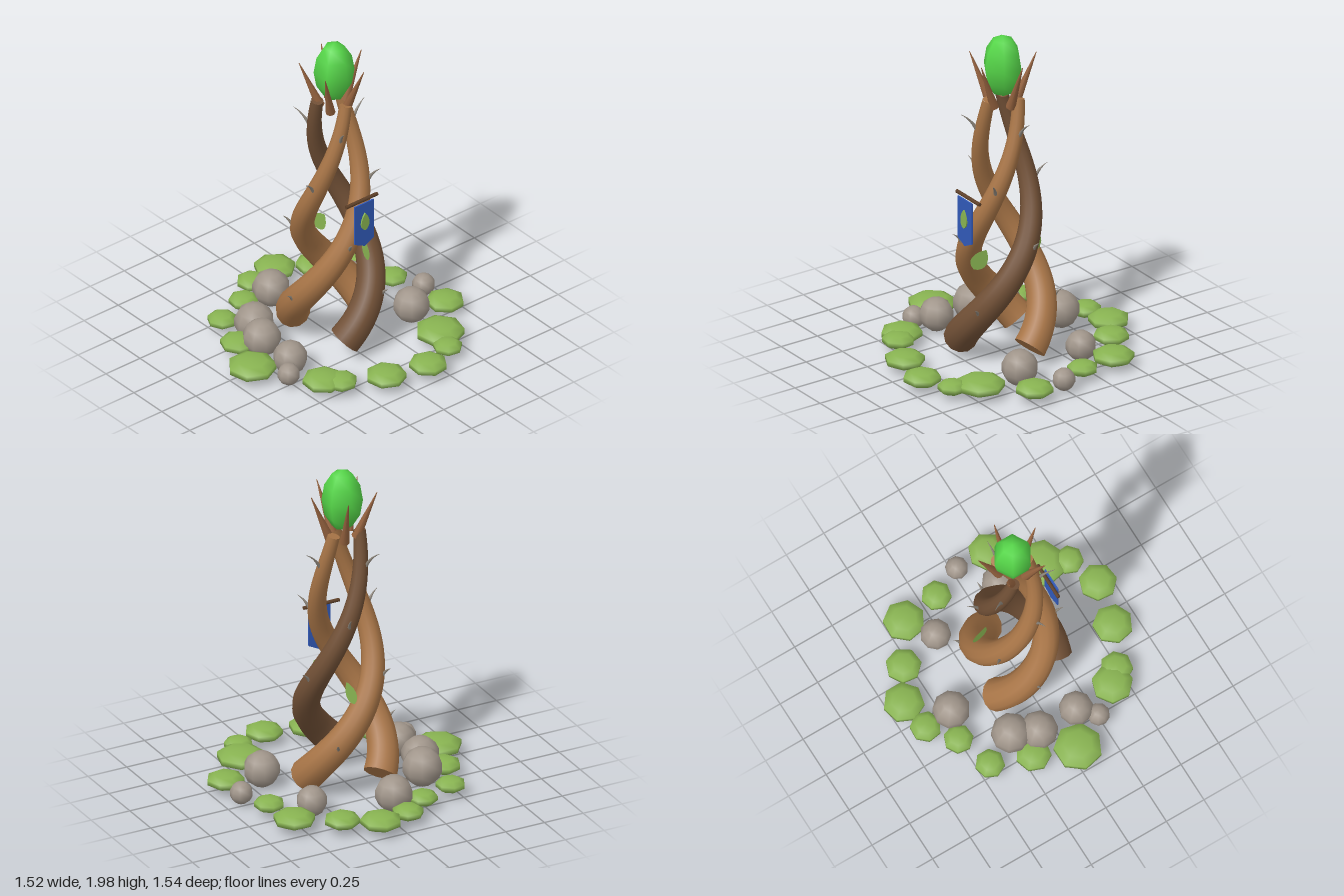
import * as THREE from 'three';

const mat = (name, color, side = THREE.FrontSide) => {
  const m = new THREE.MeshStandardMaterial({ color, side });
  m.name = name;
  return m;
};

// Tube whose radius runs from r0 to r1 along the curve
function taperedTube(curve, segments, r0, r1, sides) {
  const geo = new THREE.TubeGeometry(curve, segments, 1, sides);
  const pos = geo.attributes.position, v = new THREE.Vector3();
  for (let i = 0; i <= segments; i++) {
    const t = i / segments, c = curve.getPointAt(t), r = r0 + (r1 - r0) * t;
    for (let j = 0; j <= sides; j++) {
      const k = i * (sides + 1) + j;
      v.fromBufferAttribute(pos, k).sub(c).multiplyScalar(r).add(c);
      pos.setXYZ(k, v.x, v.y, v.z);
    }
  }
  return geo;
}

const CX = 0.015, Y0 = 0.13, Y1 = 1.62;

// Helical strand narrowing towards the top
class Strand extends THREE.Curve {
  constructor(offset) { super(); this.offset = offset; }
  angle(y) {
    const d = y - 0.68;
    return THREE.MathUtils.degToRad(90 + 192 * d - 32 * d * d + this.offset);
  }
  at(y, extra = 0) {
    const a = this.angle(y), r = 0.242 - 0.097 * (y - Y0) + extra;
    return new THREE.Vector3(CX + r * Math.sin(a), y, r * Math.cos(a));
  }
  getPoint(t, target = new THREE.Vector3()) {
    return target.copy(this.at(Y0 + (Y1 - Y0) * t));
  }
}

export function createModel() {
  const root = new THREE.Group();
  root.name = 'twistedRootTower';
  const lightWood = mat('light wood', 0xa87547);
  const darkWood = mat('dark wood', 0x715036);
  const spikeWood = mat('spike wood', 0x96633f);
  const thornGrey = mat('thorn grey', 0x8d857a);
  const stone = mat('stone', 0xa0958a);
  const green = mat('leaf green', 0x88b351, THREE.DoubleSide);
  const gemGreen = mat('gem green', 0x55d548);
  const blue = mat('banner blue', 0x3159b8);
  const poleWood = mat('pole wood', 0x5e4028);

  const add = (name, geo, material, x = 0, y = 0, z = 0, parent = root) => {
    const m = new THREE.Mesh(geo, material);
    m.name = name;
    m.position.set(x, y, z);
    parent.add(m);
    return m;
  };

  // Three twisted trunks with end caps and thorns
  const R0 = 0.098, R1 = 0.036;
  [[0, darkWood], [-120, lightWood], [120, lightWood]].forEach(([offset, wood]) => {
    const curve = new Strand(offset);
    const trunk = new THREE.Group();
    trunk.name = 'trunk';
    root.add(trunk);
    add('trunkBody', taperedTube(curve, 48, R0, R1, 12), wood, 0, 0, 0, trunk);
    [[0, R0, -1], [1, R1, 1]].forEach(([t, r, dir]) => {
      const p = curve.getPointAt(t);
      const cap = add('trunkEnd', new THREE.CircleGeometry(r, 12), wood, p.x, p.y, p.z, trunk);
      cap.lookAt(p.clone().addScaledVector(curve.getTangentAt(t), dir));
    });
    [[0.37, 0.35], [0.74, 0.5], [1.09, 0.75], [1.42, 1]].forEach(([y, s]) => {
      const a = curve.angle(y);
      const out = new THREE.Vector3(Math.sin(a), 0, Math.cos(a));
      const tube = R0 + (R1 - R0) * (y - Y0) / (Y1 - Y0);
      const p = curve.at(y, tube - 0.012);
      const mid = p.clone().addScaledVector(out, 0.03 * s + 0.005);
      mid.y += 0.07 * s;
      const tip = p.clone().addScaledVector(out, 0.08 * s + 0.012);
      tip.y += 0.1 * s;
      const horn = new THREE.QuadraticBezierCurve3(p, mid, tip);
      add('thorn', taperedTube(horn, 6, 0.012, 0.0008, 6), thornGrey, 0, 0, 0, trunk);
    });
  });

  // Crown of five spikes holding the gem
  for (let i = 0; i < 5; i++) {
    const a = i * Math.PI * 2 / 5;
    const base = new THREE.Vector3(CX + 0.08 * Math.cos(a), 1.58, 0.08 * Math.sin(a));
    const tip = new THREE.Vector3(CX + 0.2 * Math.cos(a), 1.87, 0.2 * Math.sin(a));
    const dir = tip.clone().sub(base);
    const c = base.clone().addScaledVector(dir, 0.5);
    const spike = add('crownSpike', new THREE.CylinderGeometry(0.002, 0.029, dir.length(), 8),
      spikeWood, c.x, c.y, c.z);
    spike.quaternion.setFromUnitVectors(new THREE.Vector3(0, 1, 0), dir.normalize());
  }
  const gem = add('gem', new THREE.SphereGeometry(1, 6, 6), gemGreen, CX, 1.81, 0);
  gem.scale.set(0.118, 0.19, 0.118);
  gem.rotation.y = Math.PI / 6;

  // Banner on a short pole
  const pole = add('bannerPole', new THREE.CylinderGeometry(0.011, 0.011, 0.23, 8), poleWood, 0.02, 1.045, 0.24);
  pole.rotation.z = Math.PI / 2;
  const cloth = new THREE.Shape([[-0.07, 1.04], [-0.07, 0.785], [0, 0.75], [0.07, 0.785], [0.07, 1.04]]
    .map(([x, y]) => new THREE.Vector2(x, y)));
  add('bannerCloth', new THREE.ExtrudeGeometry(cloth, { depth: 0.009, bevelEnabled: false }),
    blue, 0.02, 0, 0.258);

  // Leaf outline, one unit tall
  const leaf = new THREE.Shape();
  leaf.moveTo(0, -0.5);
  leaf.bezierCurveTo(0.42, -0.35, 0.35, 0.15, 0, 0.5);
  leaf.bezierCurveTo(-0.35, 0.15, -0.42, -0.35, 0, -0.5);
  const emblem = add('bannerLeaf', new THREE.ExtrudeGeometry(leaf, { depth: 0.009, bevelEnabled: false }),
    green, 0.02, 0.92, 0.267);
  emblem.scale.set(0.1, 0.115, 1);

  // Broad leaves growing from the trunks
  [[0.08, 0.67, 0.2, 1.3, -0.6], [0.06, 0.675, -0.185, 1.75, 0.6]].forEach(([x, y, z, turn, tilt]) => {
    const l = add('trunkLeaf', new THREE.ShapeGeometry(leaf, 8), green, x, y, z);
    l.scale.set(0.18, 0.135, 1);
    l.rotation.set(0, turn, tilt, 'YXZ');
  });

  // Ring of flat leafy clumps: x, z, radius
  [[-0.45, -0.435, 0.09], [-0.23, -0.51, 0.09], [-0.07, -0.63, 0.095], [0.12, -0.66, 0.125],
    [0.31, -0.545, 0.108], [0.54, -0.4, 0.127], [0.575, -0.165, 0.092], [0.65, 0.22, 0.115],
    [0.43, 0.44, 0.148], [0.365, 0.59, 0.088], [0.165, 0.66, 0.115], [-0.095, 0.6, 0.122],
    [-0.33, 0.48, 0.1], [-0.4, 0.41, 0.125], [-0.625, 0.045, 0.147], [-0.53, -0.195, 0.108]
  ].forEach(([x, z, r], i) => {
    const clump = add('leafClump', new THREE.SphereGeometry(1, 7, 5), green, x, 0.087, z);
    clump.scale.set(r, 0.025 + r * 0.19, r);
    clump.rotation.y = i * 2.1;
  });

  // Rounded stones: x, z, radius
  [[-0.07, -0.46, 0.11], [0.37, -0.295, 0.09], [0.655, 0.02, 0.067], [0.44, 0.175, 0.107],
    [-0.43, 0.15, 0.1], [-0.52, 0.245, 0.066], [-0.435, -0.1, 0.112], [-0.37, -0.245, 0.117]
  ].forEach(([x, z, r], i) => {
    const rock = add('stone', new THREE.SphereGeometry(r, 9, 7), stone, x, 0.04 + r * 0.82, z);
    rock.rotation.y = i * 1.7;
  });

  return root;
}
